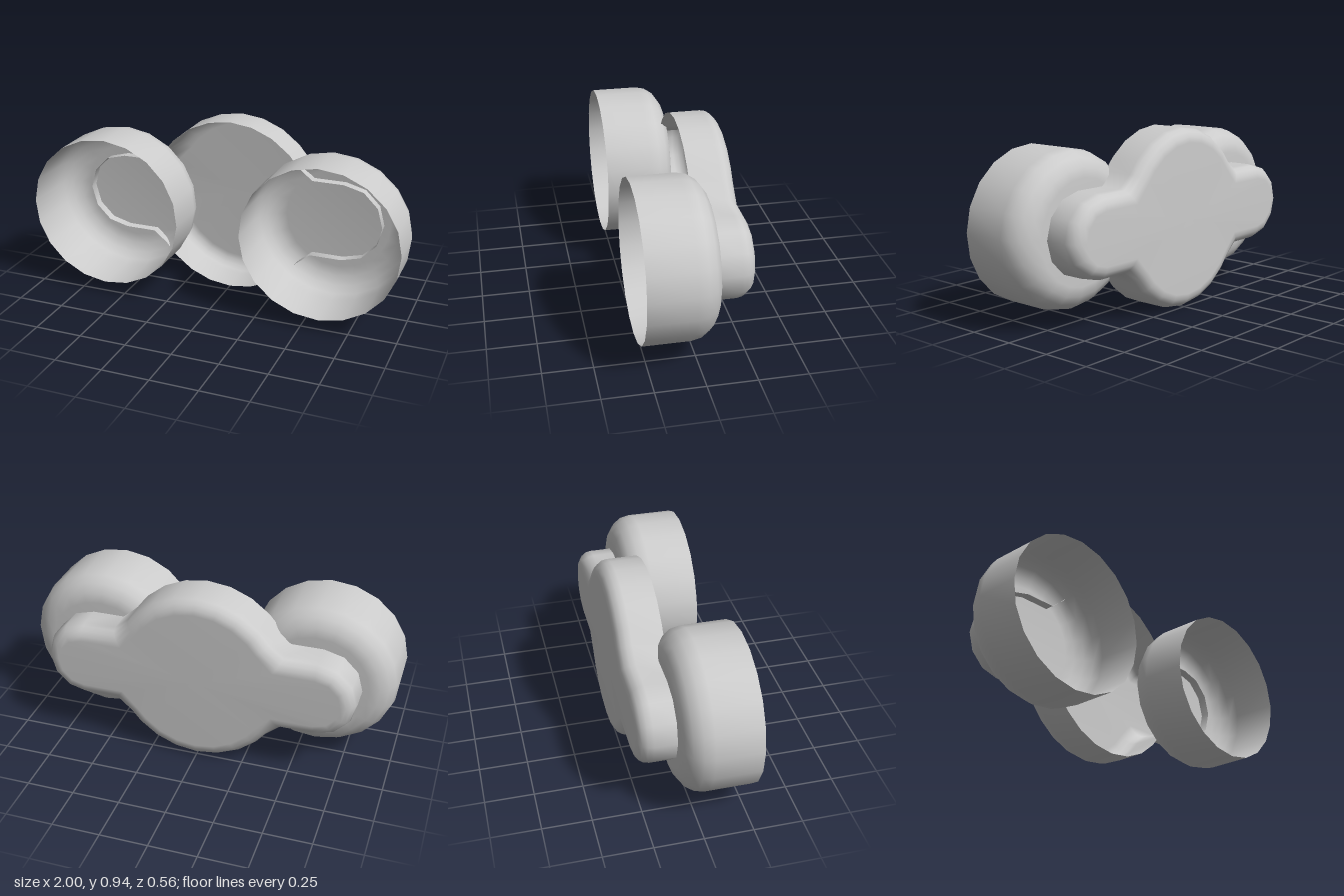
import * as THREE from 'three';

const material = new THREE.MeshStandardMaterial({ color: 0xcccccc, side: THREE.DoubleSide });

// Open-fronted shell: outline(inset) gives a counter-clockwise loop of [x, y];
// the wall runs from zFront to zBack, where it rounds over by radius into a flat back.
function shell(outline, zFront, zBack, radius, steps) {
  const rings = [[0, zFront]];
  for (let i = 0; i <= steps; i++) {
    const a = (i / steps) * Math.PI / 2;
    rings.push([radius * (1 - Math.cos(a)), zBack + radius * (1 - Math.sin(a))]);
  }
  const n = outline(0).length;
  const positions = [], index = [];
  for (const [inset, z] of rings) {
    for (const [x, y] of outline(inset)) positions.push(x, y, z);
  }
  for (let i = 0; i < rings.length - 1; i++) {
    for (let j = 0; j < n; j++) {
      const k = (j + 1) % n;
      const a = i * n + j, b = i * n + k, c = a + n, d = b + n;
      index.push(a, c, b, b, c, d);
    }
  }
  // flat back, fanned from the middle
  const centre = positions.length / 3, last = (rings.length - 1) * n;
  positions.push(0, 0, zBack);
  for (let j = 0; j < n; j++) index.push(centre, last + (j + 1) % n, last + j);

  const geometry = new THREE.BufferGeometry();
  geometry.setAttribute('position', new THREE.Float32BufferAttribute(positions, 3));
  geometry.setIndex(index);
  geometry.computeVertexNormals();
  return geometry;
}

// Slightly oval cup rim
function cupOutline(side) {
  return (inset) => {
    const points = [];
    for (let i = 0; i < 20; i++) {
      const a = THREE.MathUtils.degToRad(side * 2 + i * 18);
      points.push([(0.415 - inset) * Math.cos(a), (0.404 - inset) * Math.sin(a)]);
    }
    return points;
  };
}

// Round middle with a round-ended arm on each side, from one mirrored quadrant
function bracketOutline(inset) {
  const rx = 0.46 - inset, ry = 0.472 - inset, half = 0.21 - inset;
  const quadrant = [];
  for (const deg of [0, 30, 60, 90]) {
    const a = THREE.MathUtils.degToRad(deg);
    quadrant.push([0.62 + half * Math.cos(a), half * Math.sin(a)]);
  }
  // softened inner corner where the arm meets the disc
  quadrant.push([rx * Math.sqrt(1 - (half / ry) ** 2) + 0.04, half]);
  for (const deg of [35, 45, 60, 75, 90]) {
    const a = THREE.MathUtils.degToRad(deg);
    quadrant.push([rx * Math.cos(a), ry * Math.sin(a)]);
  }
  const upper = [...quadrant, ...quadrant.slice(0, -1).reverse().map(([x, y]) => [-x, y])];
  return [...upper, ...upper.slice(1, -1).reverse().map(([x, y]) => [x, -y])];
}

export function createModel() {
  const model = new THREE.Group();
  model.name = 'twinCupBracket';

  // Rear bracket
  const bracket = new THREE.Mesh(shell(bracketOutline, -0.045, -0.28, 0.075, 4), material);
  bracket.name = 'bracket';
  bracket.position.y = 0.472;
  model.add(bracket);

  // Pair of open cups
  for (const side of [-1, 1]) {
    const cup = new THREE.Mesh(shell(cupOutline(side), 0.28, -0.092, 0.135, 4), material);
    cup.name = side > 0 ? 'leftCup' : 'rightCup';
    cup.position.set(side * 0.585, 0.471, 0);
    model.add(cup);
  }
  return model;
}
